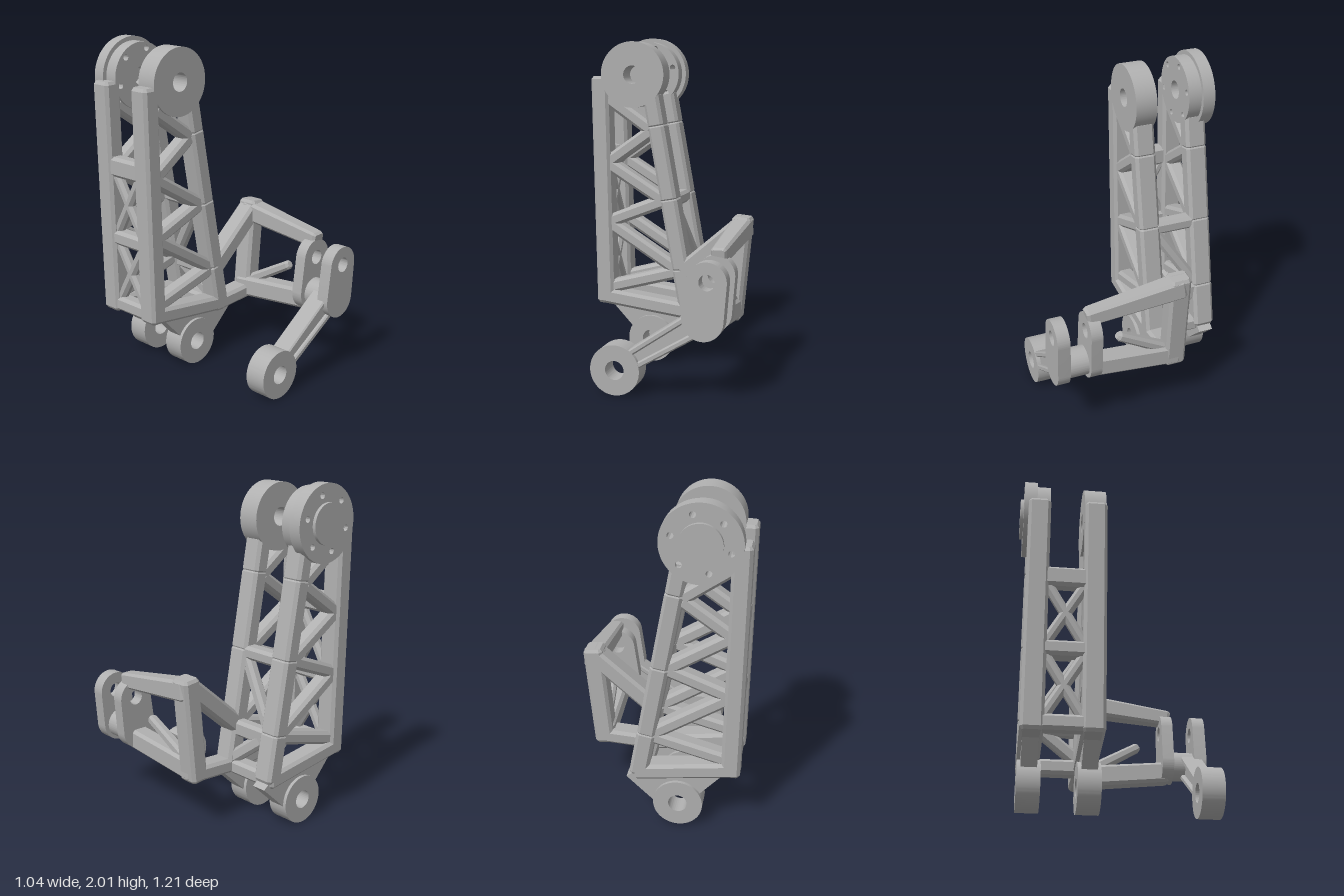
import * as THREE from 'three';
import { toCreasedNormals } from 'three/addons/utils/BufferGeometryUtils.js';

export function createModel() {
  const root = new THREE.Group();
  const grey = new THREE.MeshStandardMaterial({ color: 0xb0b0b0 });
  const V = (p) => new THREE.Vector3(...p);

  const add = (name, geo, parent = root) => {
    const m = new THREE.Mesh(geo, grey);
    m.name = name;
    parent.add(m);
    return m;
  };

  // Chamfered bar from a to b; d is its size along "up", w across it, end its taper
  function beam(name, a, b, w, d, up = [0, 0, 1], { c = 0.018, end = 1, parent = root } = {}) {
    const A = V(a), dir = V(b).sub(A), len = dir.length();
    dir.normalize();
    const x = w / 2, y = d / 2;
    const s = new THREE.Shape([
      [x, c - y], [x, y - c], [x - c, y], [c - x, y],
      [-x, y - c], [-x, c - y], [c - x, -y], [x - c, -y],
    ].map((p) => new THREE.Vector2(...p)));
    const g = new THREE.ExtrudeGeometry(s, { depth: len - 2 * c, bevelThickness: c, bevelSize: c * 0.7, bevelOffset: -c * 0.7, bevelSegments: 1 });
    g.translate(0, 0, c);
    const pos = g.attributes.position;
    for (let i = 0; i < pos.count; i++) {
      const k = 1 + (end - 1) * pos.getZ(i) / len;
      pos.setXY(i, pos.getX(i) * k, pos.getY(i) * k);
    }
    g.computeVertexNormals();
    const u = new THREE.Vector3().crossVectors(V(up), dir).normalize();
    const v = new THREE.Vector3().crossVectors(dir, u);
    g.applyMatrix4(new THREE.Matrix4().makeBasis(u, v, dir).setPosition(A));
    return add(name, g, parent);
  }

  // Flat plate in the xy plane between z0 and z1, holes given as [x, y, r]
  function plate(name, shape, z0, z1, holes = [], parent = root) {
    for (const [x, y, r] of holes) {
      const h = new THREE.Path();
      h.absarc(x, y, r, 0, Math.PI * 2, true);
      shape.holes.push(h);
    }
    const g = new THREE.ExtrudeGeometry(shape, { depth: z1 - z0, bevelEnabled: false, curveSegments: 48 });
    g.translate(0, 0, z0);
    return add(name, toCreasedNormals(g, 0.5), parent);
  }
  const disc = (x, y, r) => new THREE.Shape().absarc(x, y, r, 0, Math.PI * 2, false);
  const poly = (pts) => new THREE.Shape(pts.map((p) => new THREE.Vector2(...p)));

  const HUB = [-0.245, 1.78], EYE = [-0.125, 0.145];
  const chordX = (y) => -0.135 + (1.67 - y) * 0.181;
  const rearX = (y) => -0.458 + (y - 1.7) * -0.0 - (y - 1.7) * 0.021;

  // Two identical side trusses
  for (const [label, zc] of [['front', -0.165], ['back', -0.495]]) {
    const t = new THREE.Group();
    t.name = label + 'Truss';
    root.add(t);
    const o = { parent: t };
    const bar = (name, a, b, w, d = 0.13) => beam(name, [...a, zc], [...b, zc], w, d, [0, 0, 1], o);
    bar('rearChord', [-0.428, 0.35], [-0.459, 1.77], 0.11);
    // Front chord in overlapping lengths
    const joints = [1.67, 1.48, 1.03, 0.6, 0.33];
    for (let i = 0; i < 4; i++) {
      const y0 = joints[i], y1 = joints[i + 1] - 0.02;
      bar('frontChord', [chordX(y0), y0], [chordX(y1), y1], 0.1 + i * 0.003);
    }
    bar('bottomChord', [-0.475, 0.40], [0.14, 0.325], 0.095);
    // Zigzag bracing
    const zig = [[-0.42, 1.64], [-0.13, 1.44], [-0.42, 1.235], [-0.05, 1.01], [-0.42, 0.865], [0.05, 0.575], [-0.41, 0.45]];
    for (let i = 0; i < 6; i++) bar('brace', zig[i], zig[i + 1], 0.08, 0.1);
    // Foot eye and its gusset
    plate('footEye', disc(...EYE, 0.145), zc - 0.065, zc + 0.065, [[...EYE, 0.055]], t);
    plate('footGusset', poly([[-0.39, 0.36], [-0.23, 0.19], [-0.17, 0.225], [-0.08, 0.225], [0.0, 0.12], [0.18, 0.29], [0.1, 0.35]]), zc - 0.045, zc + 0.045, [], t);
  }

  // Upper hubs, the back one with a bolted flange and boss
  const bolts = [...Array(6)].map((_, i) => {
    const a = i * Math.PI / 3 + 0.25;
    return [HUB[0] + 0.165 * Math.cos(a), HUB[1] + 0.165 * Math.sin(a), 0.018];
  });
  plate('frontHub', disc(...HUB, 0.2), -0.23, -0.1, [[...HUB, 0.055]]);
  plate('backHub', disc(...HUB, 0.2), -0.56, -0.43, [[...HUB, 0.055], ...bolts]);
  plate('hubFlange', disc(...HUB, 0.225), -0.585, -0.51, bolts);
  plate('hubBoss', disc(...HUB, 0.12), -0.605, -0.58);

  // Cross members joining the trusses
  const ZF = -0.2, ZB = -0.46;
  const rung = (name, x, y, h, d) => beam(name, [x, y, ZF], [x, y, ZB], d, h, [0, 1, 0]);
  const rear = [1.27, 0.83, 0.4];
  rear.forEach((y) => rung('rearRung', rearX(y), y, y > 1 ? 0.12 : 0.09, 0.09));
  for (let i = 0; i < 2; i++) {
    const y0 = rear[i], y1 = rear[i + 1];
    beam('rearCross', [rearX(y0), y0, ZF], [rearX(y1), y1, ZB], 0.06, 0.06, [1, 0, 0]);
    beam('rearCross', [rearX(y0), y0, ZB], [rearX(y1), y1, ZF], 0.06, 0.06, [1, 0, 0]);
  }
  rung('frontRung', chordX(1.01), 1.01, 0.08, 0.09);
  rung('frontRung', chordX(0.56), 0.56, 0.1, 0.08);
  rung('frontRung', 0.09, 0.325, 0.09, 0.1);
  beam('frontDiagonal', [chordX(0.99), 0.99, ZF], [chordX(0.6), 0.6, ZB], 0.07, 0.07, [1, 0, 0]);
  beam('frontDiagonal', [chordX(0.57), 0.57, ZB], [chordX(0.37), 0.37, ZF], 0.08, 0.07, [1, 0, 0]);

  // Side frame reaching out from the front truss
  const Z = -0.165;
  beam('frameUpperBar', [0.06, 0.565, Z], [0.455, 0.905, Z], 0.11, 0.13);
  beam('frameLowerBar', [0.05, 0.325, Z], [0.43, 0.35, Z], 0.09, 0.13);
  beam('framePost', [0.38, 0.3, Z], [0.44, 0.935, Z], 0.115, 0.13);
  beam('upperArm', [0.437, 0.87, -0.2], [0.425, 0.79, 0.4], 0.125, 0.13, [0, 1, 0], { end: 0.72 });
  beam('lowerArm', [0.383, 0.365, -0.2], [0.385, 0.42, 0.38], 0.12, 0.13, [0, 1, 0], { end: 0.95 });
  beam('armStub', [0.39, 0.40, -0.14], [0.4, 0.59, 0.2], 0.07, 0.07, [1, 0, 0], { end: 0.8 });

  // Elbow: two rounded lugs around a pin barrel
  const PIN = [0.387, 0.475], TOP = [0.41, 0.685];
  const lug = () => {
    const tilt = Math.atan2(TOP[0] - PIN[0], TOP[1] - PIN[1]);
    const s = new THREE.Shape();
    s.absarc(...TOP, 0.112, -tilt, Math.PI - tilt, false);
    s.absarc(...PIN, 0.118, Math.PI - tilt, 2 * Math.PI - tilt, false);
    return s;
  };
  plate('innerLug', lug(), 0.33, 0.4, [[...TOP, 0.045]]);
  plate('outerLug', lug(), 0.525, 0.6, [[...TOP, 0.045]]);
  plate('pinBarrel', disc(0.39, 0.468, 0.088), 0.39, 0.53);

  // Lower link swinging back to its own eye
  plate('linkEye', disc(...EYE, 0.145), 0.45, 0.58, [[...EYE, 0.055]]);
  const L = new THREE.Vector2(PIN[0] - EYE[0], PIN[1] - EYE[1]).normalize();
  const n = [-L.y, L.x];
  const at = (p, along, side) => [p[0] + L.x * along + n[0] * side, p[1] + L.y * along + n[1] * side];
  plate('linkWeb', poly([at(EYE, 0.08, -0.045), at(PIN, 0, -0.065), at(PIN, 0, 0.065), at(EYE, 0.08, 0.045)]), 0.475, 0.555);
  for (const s of [-1, 1]) {
    beam('linkRail', [...at(EYE, 0.1, s * 0.04), 0.515], [...at(PIN, 0, s * 0.055), 0.515], 0.035, 0.125, [0, 0, 1], { c: 0.008 });
  }

  return root;
}
